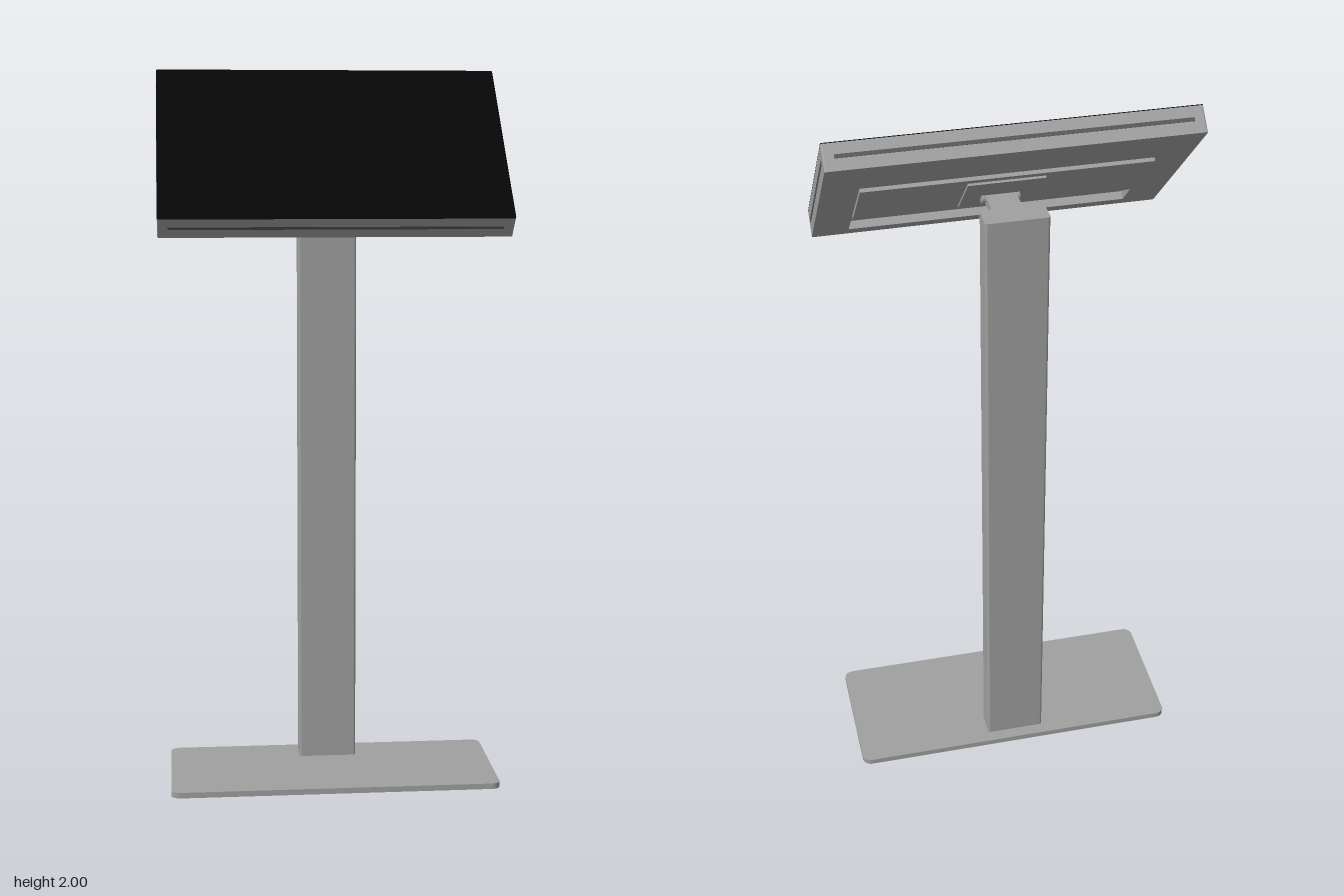
import * as THREE from 'three';

const grey = new THREE.MeshStandardMaterial({ color: 0xa0a0a0 });
grey.name = 'greyMetal';
const black = new THREE.MeshStandardMaterial({ color: 0x060606 });
black.name = 'blackGlass';
const dark = new THREE.MeshStandardMaterial({ color: 0x5a5a5a });
dark.name = 'darkSlot';

function roundedRect(w, h, r) {
  const s = new THREE.Shape();
  const x = w / 2, y = h / 2;
  s.absarc(x - r, y - r, r, 0, Math.PI / 2);
  s.absarc(-x + r, y - r, r, Math.PI / 2, Math.PI);
  s.absarc(-x + r, -y + r, r, Math.PI, Math.PI * 1.5);
  s.absarc(x - r, -y + r, r, Math.PI * 1.5, Math.PI * 2);
  s.closePath();
  return s;
}

function extrude(shape, depth) {
  return new THREE.ExtrudeGeometry(shape, { depth, bevelEnabled: false, curveSegments: 6 });
}

function add(parent, name, geometry, material, x = 0, y = 0, z = 0) {
  const mesh = new THREE.Mesh(geometry, material);
  mesh.name = name;
  mesh.position.set(x, y, z);
  parent.add(mesh);
  return mesh;
}

const box = (w, h, d) => new THREE.BoxGeometry(w, h, d);

export function createModel() {
  const model = new THREE.Group();
  model.name = 'displayStand';

  // Floor plate and column, extruded upwards
  add(model, 'basePlate', extrude(roundedRect(0.926, 0.385, 0.025), 0.016).rotateX(-Math.PI / 2),
    grey, 0.007, 0, -0.0525);
  add(model, 'column', extrude(roundedRect(0.165, 0.072, 0.007), 1.749).rotateX(-Math.PI / 2),
    grey, 0.003, 0.016, -0.175);

  // Arm and hinge carrying the display
  add(model, 'arm', box(0.08, 0.024, 0.145), grey, 0.003, 1.724, -0.07);
  add(model, 'hinge', new THREE.CylinderGeometry(0.014, 0.014, 0.1, 20).rotateZ(Math.PI / 2),
    grey, 0.003, 1.726, -0.008);

  // Tilted display: local +z is the screen normal
  const W = 0.941, H = 0.563, T = 0.072, bay = 0.022;
  const display = new THREE.Group();
  display.name = 'display';
  display.position.set(-0.0015, 1.7765, 0.0175);
  display.rotation.x = -Math.PI / 4;
  model.add(display);

  const glass = 0.002;
  add(display, 'housing', extrude(roundedRect(W, H, 0.005), T - bay - glass), grey, 0, 0, -T / 2 + bay);
  add(display, 'screen', extrude(roundedRect(W, H, 0.005), glass), black, 0, 0, T / 2 - glass);

  // Rear shell with the open connector bay
  const shell = roundedRect(W, H, 0.005);
  const hole = new THREE.Path();
  hole.moveTo(-0.375, -0.242);
  hole.lineTo(-0.375, -0.118);
  hole.lineTo(0.375, -0.118);
  hole.lineTo(0.375, -0.242);
  hole.closePath();
  shell.holes.push(hole);
  add(display, 'rearShell', extrude(shell, bay), grey, 0, 0, -T / 2);

  // Raised rear cover and mounting plate
  add(display, 'rearCover', box(0.75, 0.236, 0.01), grey, 0, 0, -T / 2 - 0.005);
  add(display, 'mountPlate', box(0.2, 0.19, 0.006), grey, 0.003, 0, -T / 2 - 0.013);

  // Long vent slots on all four edges
  for (const s of [-1, 1]) {
    add(display, 'longSlot', box(0.885, 0.002, 0.01), dark, 0, s * H / 2, 0);
    add(display, 'sideSlot', box(0.002, 0.495, 0.01), dark, s * W / 2, 0, 0);
  }
  return model;
}
